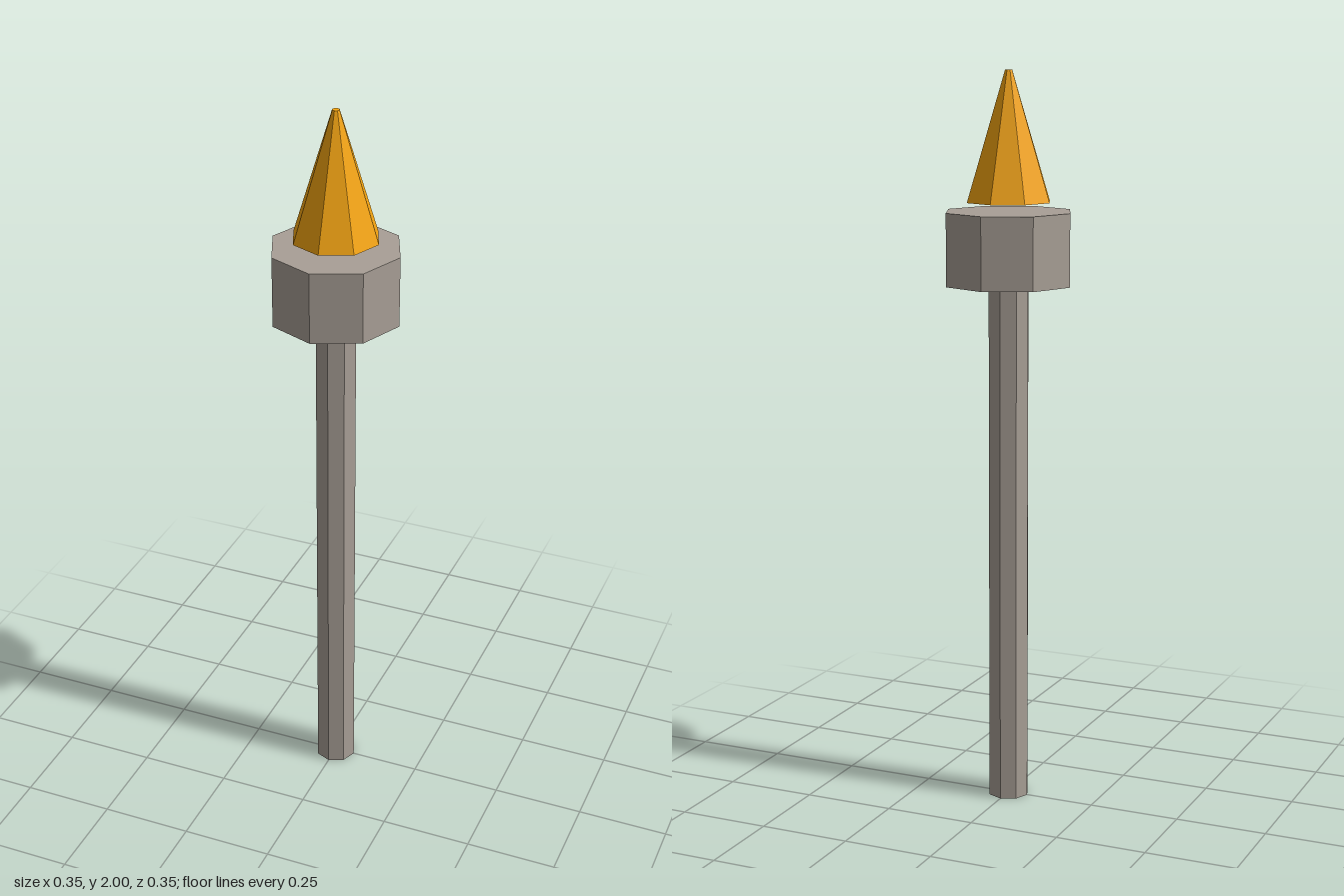
import * as THREE from 'three';

const SIDES = 8;

export function createModel() {
  const model = new THREE.Group();
  model.name = 'torch';

  const stone = new THREE.MeshStandardMaterial({ color: 0xa89f96, flatShading: true });
  const fire = new THREE.MeshStandardMaterial({ color: 0xf5a511, flatShading: true });

  // Eight-sided solid standing between two heights
  const addPrism = (name, topRadius, bottomRadius, y0, y1, material) => {
    const geometry = new THREE.CylinderGeometry(topRadius, bottomRadius, y1 - y0, SIDES);
    const mesh = new THREE.Mesh(geometry, material);
    mesh.name = name;
    mesh.position.y = (y0 + y1) / 2;
    model.add(mesh);
  };

  addPrism('shaft', 0.057, 0.057, 0, 1.435, stone);
  addPrism('head', 0.177, 0.177, 1.435, 1.63, stone);
  // The flame floats just above the head
  addPrism('flame', 0.01, 0.118, 1.655, 2, fire);

  return model;
}
